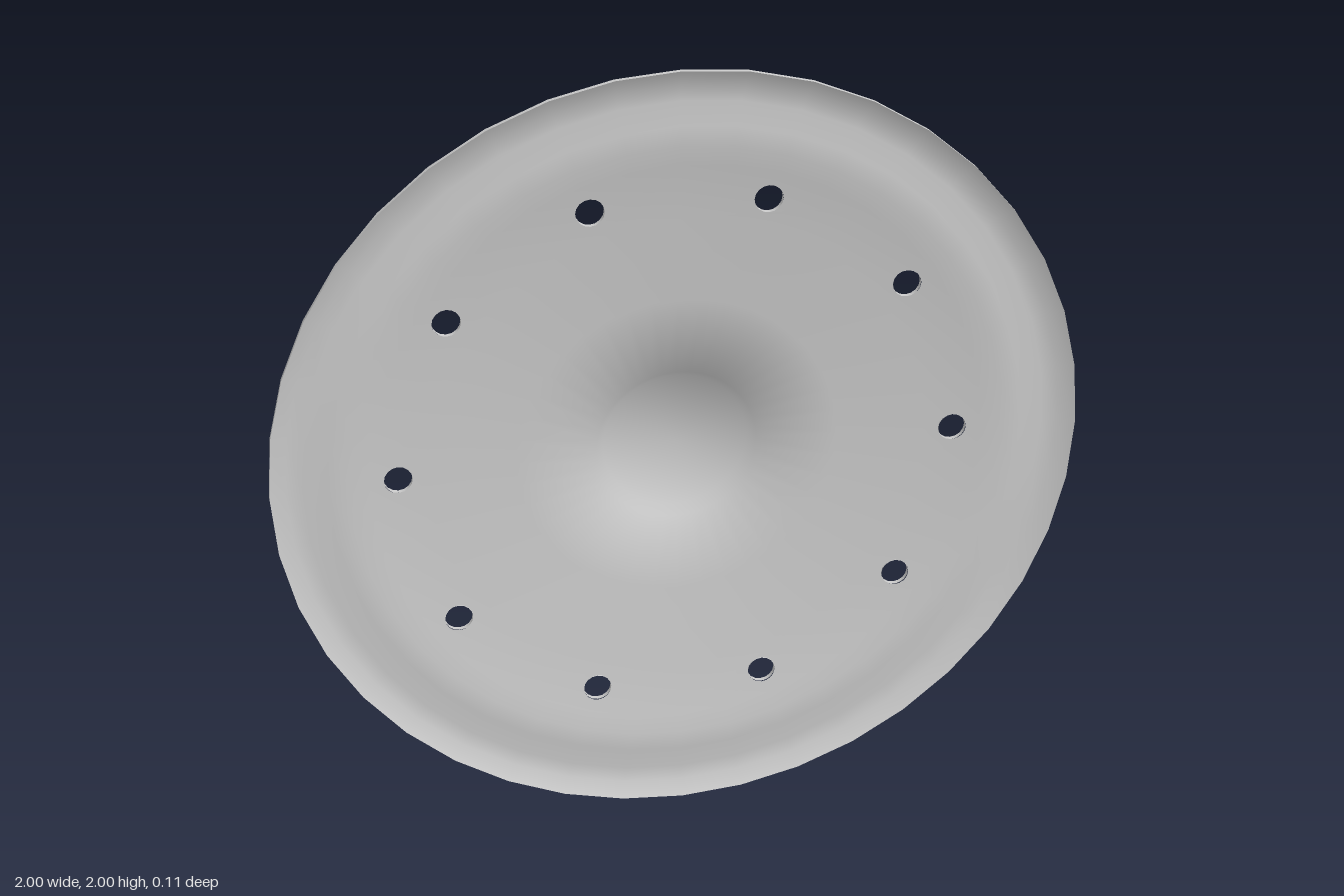
import * as THREE from 'three';
import { mergeGeometries } from 'three/addons/utils/BufferGeometryUtils.js';

const SIDES = 40, HOLES = 10, HOLE_SIDES = 16;
const HOLE_RING = 0.69, HOLE_RADIUS = 0.035, THICKNESS = 0.012;

// Radius and depth of the pressed sheet's back surface, from hub to rim
const profile = [
  [0, -0.056], [0.18, -0.056], [0.2, -0.032], [0.4, -0.016], [0.62, 0.004], [0.76, 0.018],
  [0.81, 0.028], [0.86, 0.027], [0.92, 0.019], [0.96, 0.022], [1, 0.043],
];

// Slope angle of each segment, then averaged at each knot for smooth shading
const segAngle = profile.slice(1).map(([r, z], i) => Math.atan2(z - profile[i][1], r - profile[i][0]));
const knotAngle = profile.map((_, i) => {
  if (i === 0) return 0;
  if (i === profile.length - 1) return segAngle[i - 1];
  return (segAngle[i - 1] + segAngle[i]) / 2;
});

// Depth and slope at any radius
function sample(r) {
  let i = 0;
  while (i < profile.length - 2 && r > profile[i + 1][0]) i++;
  const [r0, z0] = profile[i], [r1, z1] = profile[i + 1];
  const t = Math.min(1, (r - r0) / (r1 - r0));
  return { z: z0 + (z1 - z0) * t, angle: knotAngle[i] + (knotAngle[i + 1] - knotAngle[i]) * t };
}

const polar = (r, a) => new THREE.Vector2(r * Math.cos(a), r * Math.sin(a));

// One wedge of the perforated band, with its bolt hole
function holeSector(inner, outer, centre) {
  const step = (2 * Math.PI) / SIDES, pts = [];
  for (let i = -2; i <= 2; i++) pts.push(polar(outer, centre + i * step));
  for (let i = 2; i >= -2; i--) pts.push(polar(inner, centre + i * step));
  const shape = new THREE.Shape(pts);
  const c = polar(HOLE_RING, centre), hole = [];
  for (let i = 0; i < HOLE_SIDES; i++) {
    hole.push(polar(HOLE_RADIUS, (-i * 2 * Math.PI) / HOLE_SIDES).add(c));
  }
  shape.holes.push(new THREE.Path(hole));
  return new THREE.ShapeGeometry(shape);
}

// Flat disc layout pressed into the profile; side is 1 for front, -1 for back
function skin(side) {
  const parts = [new THREE.CircleGeometry(profile[1][0], SIDES)];
  for (let i = 1; i < profile.length - 1; i++) {
    const inner = profile[i][0], outer = profile[i + 1][0];
    if (inner < HOLE_RING && outer > HOLE_RING) {
      for (let h = 0; h < HOLES; h++) parts.push(holeSector(inner, outer, (h * 2 * Math.PI) / HOLES));
    } else {
      parts.push(new THREE.RingGeometry(inner, outer, SIDES, 1));
    }
  }
  const geo = mergeGeometries(parts);
  const pos = geo.attributes.position, nor = geo.attributes.normal;
  for (let i = 0; i < pos.count; i++) {
    const x = pos.getX(i), y = pos.getY(i), r = Math.hypot(x, y), s = sample(r);
    const k = r > 1e-6 ? -Math.sin(s.angle) / r : 0;
    pos.setZ(i, s.z + (side > 0 ? THICKNESS : 0));
    nor.setXYZ(i, side * x * k, side * y * k, side * Math.cos(s.angle));
  }
  if (side < 0) geo.index.array.reverse();
  return geo;
}

export function createModel() {
  const group = new THREE.Group();
  group.name = 'perforatedDish';
  const material = new THREE.MeshStandardMaterial({ color: 0xcccccc });
  const wallMaterial = new THREE.MeshStandardMaterial({ color: 0xcccccc, side: THREE.DoubleSide });
  const add = (name, geo, mat) => {
    const mesh = new THREE.Mesh(geo, mat);
    mesh.name = name;
    mesh.position.y = 1;
    group.add(mesh);
  };

  // Front and back faces of the sheet
  add('frontFace', skin(1), material);
  add('backFace', skin(-1), material);

  // Short straight walls closing the outer rim and the bolt holes
  const wall = (radius, sides, x, y, z) =>
    new THREE.CylinderGeometry(radius, radius, THICKNESS, sides, 1, true)
      .rotateX(Math.PI / 2)
      .translate(x, y, z + THICKNESS / 2);
  add('rimEdge', wall(1, SIDES, 0, 0, sample(1).z), wallMaterial);
  const holeWalls = [];
  for (let h = 0; h < HOLES; h++) {
    const c = polar(HOLE_RING, (h * 2 * Math.PI) / HOLES);
    holeWalls.push(wall(HOLE_RADIUS, HOLE_SIDES, c.x, c.y, sample(HOLE_RING).z));
  }
  add('boltHoleWalls', mergeGeometries(holeWalls), wallMaterial);
  return group;
}
